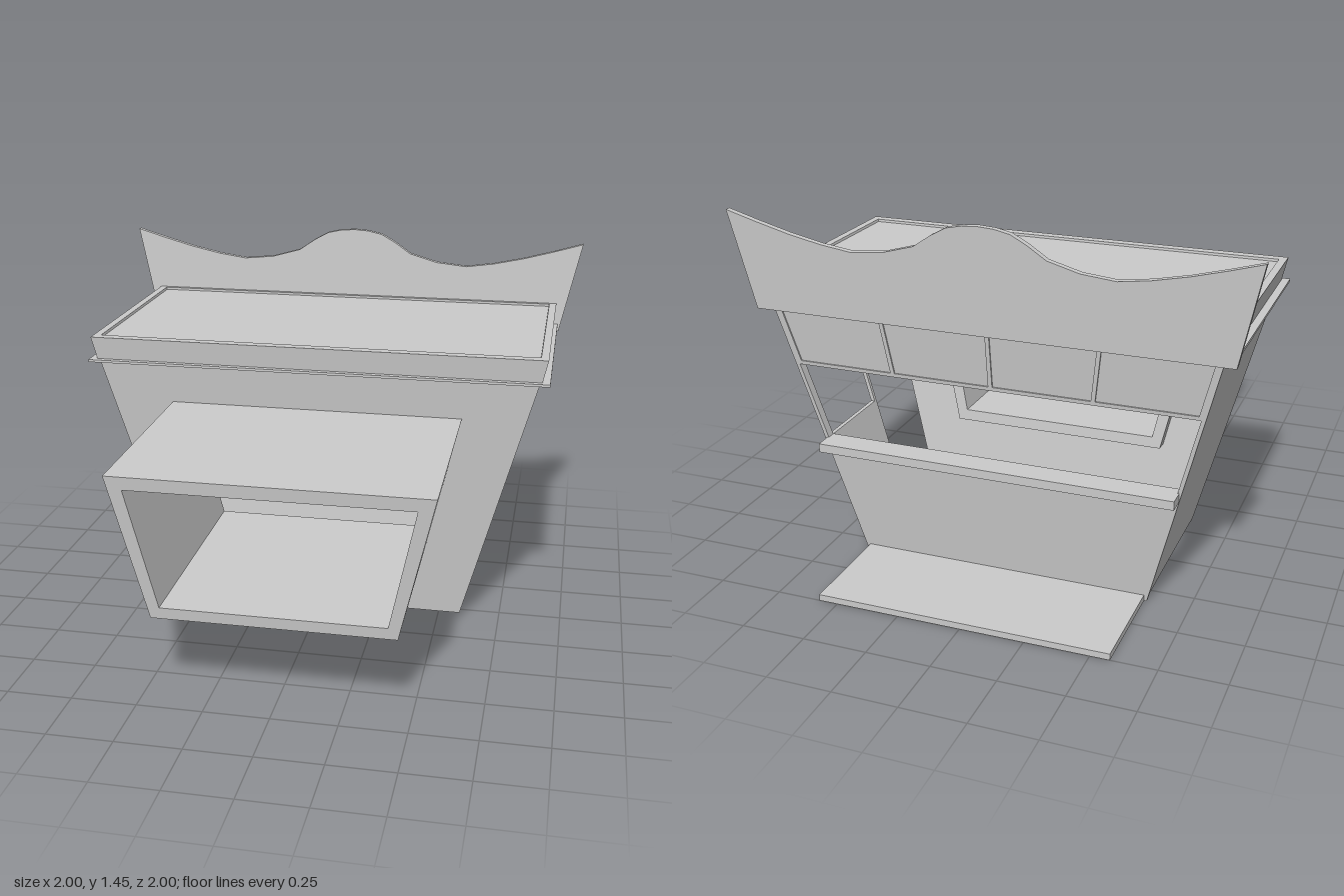
import * as THREE from 'three';

const material = new THREE.MeshStandardMaterial({ color: 0xcccccc, flatShading: true });

// Leaning wall planes: half width, front and back as functions of height
const halfW = (y) => 0.585 + 0.27 * y;
const front = (y) => 0.07 + 0.115 * y;
const back = (y) => -0.58 - 0.115 * y;

const toPoints = (list) => list.map(([x, y]) => new THREE.Vector2(x, y));

export function createModel() {
  const model = new THREE.Group();

  function add(name, geometry) {
    const mesh = new THREE.Mesh(geometry, material);
    mesh.name = name;
    model.add(mesh);
  }

  // Extrudes an outline, then moves every vertex (u, v, w) by a rule
  function panel(name, outline, holes, depth, rule) {
    const shape = new THREE.Shape(toPoints(outline));
    holes.forEach((h) => shape.holes.push(new THREE.Path(toPoints(h))));
    const geometry = new THREE.ExtrudeGeometry(shape, { depth, bevelEnabled: false });
    const p = geometry.attributes.position;
    for (let i = 0; i < p.count; i++) p.setXYZ(i, ...rule(p.getX(i), p.getY(i), p.getZ(i)));
    geometry.computeVertexNormals();
    add(name, geometry);
  }

  function box(name, x, y0, y1, z0, z1) {
    const geometry = new THREE.BoxGeometry(2 * x, y1 - y0, z1 - z0);
    geometry.translate(0, (y0 + y1) / 2, (z0 + z1) / 2);
    add(name, geometry);
  }

  // Symmetric trapezoid between two heights
  const trapezoid = (x0, y0, x1, y1) => [[-x0, y0], [x0, y0], [x1, y1], [-x1, y1]];
  const wallBand = (y0, y1, inset = 0) => trapezoid(halfW(y0) - inset, y0, halfW(y1) - inset, y1);

  // Front wall with serving window
  panel('frontWall', wallBand(0.02, 1.06), [trapezoid(0.445, 0.335, 0.575, 0.895)], 0.016,
    (x, y, w) => [x, y, front(y) - 0.016 + w]);

  // Window tunnel reaching forward
  panel('windowTunnel', trapezoid(0.45, 0.34, 0.58, 0.9), [trapezoid(0.415, 0.385, 0.515, 0.85)], 0.9,
    (x, y, w) => [x, y - 0.012 * w, 0.04 + 0.107 * (y - 0.34) + w]);

  // Closed side wall
  const T = 0.016;
  panel('rightWall',
    [[back(0.03), 0.03], [front(0.03), 0.03], [front(1.06), 1.06], [back(1.06), 1.06]], [], T,
    (z, y, w) => [-halfW(y) + T - w, y, z]);

  // Open side wall: doorway, side opening and two inset upper panels
  const doorZ = -0.235;
  const sideBand = [
    [[doorZ + 0.015, 0.825], [front(0.825) - 0.03, 0.825], [front(1.04) - 0.03, 1.04], [doorZ + 0.015, 1.04]],
    [[back(0.825) + 0.035, 0.825], [doorZ - 0.015, 0.825], [doorZ - 0.015, 1.04], [back(1.04) + 0.035, 1.04]],
  ];
  panel('leftWall',
    [[back(0), 0], [doorZ, 0], [doorZ, 0.81], [front(0.81), 0.81], [front(1.06), 1.06], [back(1.06), 1.06]],
    [
      [[back(0.5) + 0.035, 0.5], [doorZ - 0.015, 0.5], [doorZ - 0.015, 0.8], [back(0.8) + 0.035, 0.8]],
      ...sideBand,
    ], T, (z, y, w) => [halfW(y) - w, y, z]);
  sideBand.forEach((outline) => panel('leftUpperPane', outline, [], 0.008,
    (z, y, w) => [halfW(y) - 0.005 - w, y, z]));

  // Back: low wall, counter and step
  panel('backWall', wallBand(0, 0.48), [], 0.016, (x, y, w) => [x, y, back(y) + w]);
  box('counter', 0.71, 0.465, 0.5, -0.705, -0.6);
  box('step', 0.575, 0, 0.025, -1, -0.575);

  // Back upper band: frame with four panes
  const paneHoles = [0, 1, 2, 3].map((i) => {
    const at = (f, y) => (f - 2) * 0.5 * (halfW(y) - 0.02);
    const [a, b, g] = [i, i + 1, 0.008];
    return [[at(a, 0.825) + g, 0.825], [at(b, 0.825) - g, 0.825], [at(b, 1.045) - g, 1.045], [at(a, 1.045) + g, 1.045]];
  });
  panel('backUpperFrame', wallBand(0.81, 1.06), paneHoles, 0.02, (x, y, w) => [x, y, back(y) + w]);
  paneHoles.forEach((outline) => panel('backUpperPane', outline, [], 0.008,
    (x, y, w) => [x, y, back(y) + 0.006 + w]));

  // Roof: ledge, flared rim and slightly sunken deck
  box('roofLedge', 0.91, 1.06, 1.07, -0.715, 0.222);
  panel('roofRim',
    [[-0.88, -0.72], [0.88, -0.72], [0.88, 0.2], [-0.88, 0.2]],
    [[[-0.85, -0.7], [0.85, -0.7], [0.85, 0.16], [-0.85, 0.16]]], 0.09,
    (x, z, w) => [x + Math.sign(x) * 0.22 * w, 1.16 - (0.09 - w), z + (z > 0 ? 0.12 * w : 0)].map((v) => v));
  box('roofDeck', 0.87, 1.065, 1.15, -0.705, 0.172);

  // Wavy sign board leaning outward
  const crest = [[1, 1.42], [0.88, 1.385], [0.75, 1.35], [0.62, 1.322], [0.5, 1.305], [0.37, 1.318], [0.25, 1.352],
    [0.18, 1.4], [0.12, 1.433], [0.06, 1.446]];
  const mirrored = crest.map(([x, y]) => [-x, y]).reverse();
  panel('signBoard', [[-0.915, 1.04], [0.915, 1.04], ...crest, [0, 1.45], ...mirrored], [], 0.025,
    (x, y, w) => [x, y, -0.735 - 0.065 * (y - 1.04) + w]);

  // The rim rule swaps two axes, so turn its faces back outward
  const rim = model.getObjectByName('roofRim').geometry;
  const p = rim.attributes.position;
  const a = new THREE.Vector3(), b = new THREE.Vector3();
  for (let i = 0; i < p.count; i += 3) {
    a.fromBufferAttribute(p, i + 1);
    b.fromBufferAttribute(p, i + 2);
    p.setXYZ(i + 1, b.x, b.y, b.z);
    p.setXYZ(i + 2, a.x, a.y, a.z);
  }
  rim.computeVertexNormals();

  return model;
}
